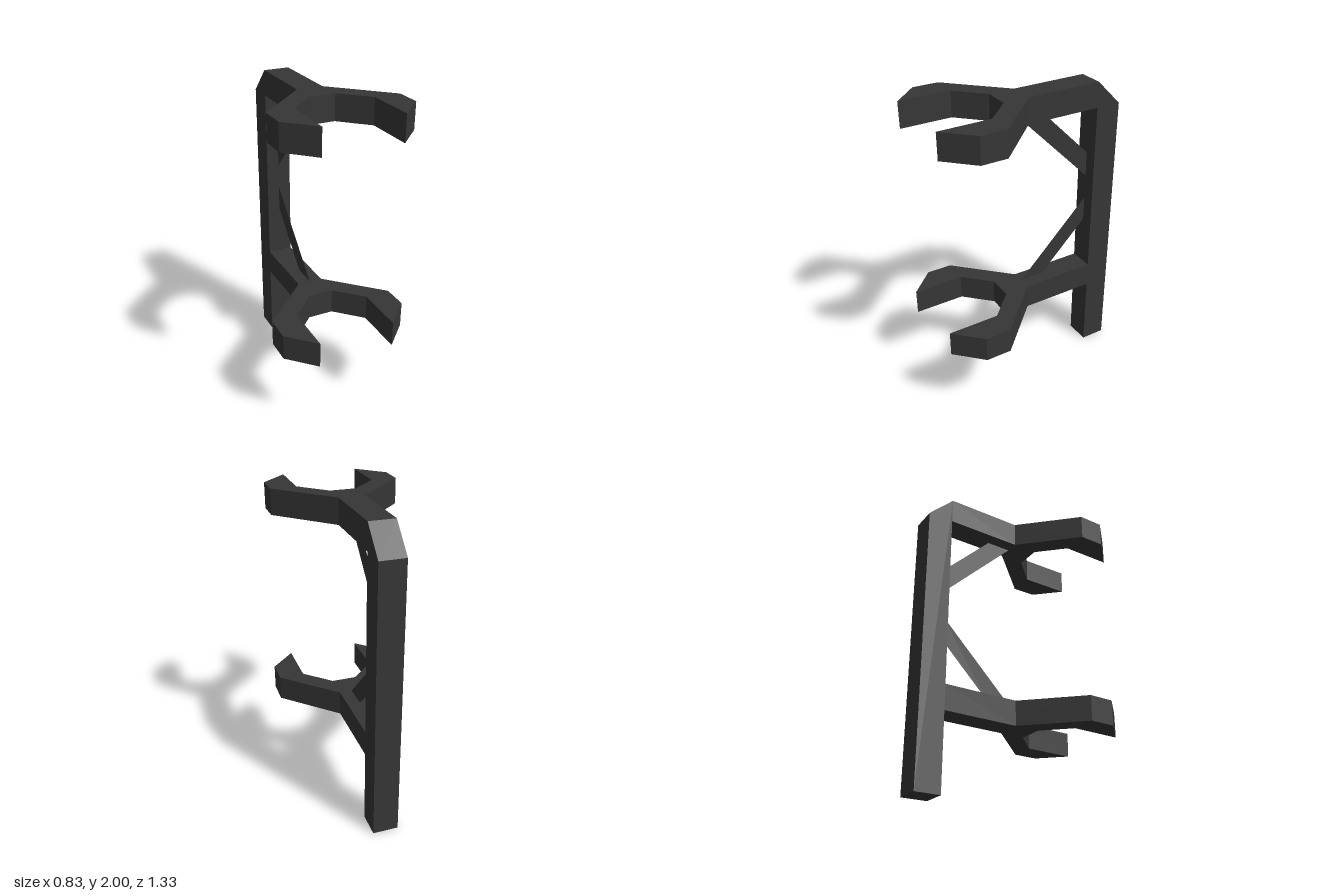
import * as THREE from 'three';

const U = 1 / 12; // half the beam width
const W = 2 * U;  // beam width

const polygon = (pts) => new THREE.Shape(pts.map(([a, b]) => new THREE.Vector2(a * U, b * U)));

export function createModel() {
  const group = new THREE.Group();
  group.name = 'wallBracket';

  const darkMetal = new THREE.MeshStandardMaterial({ color: 0x363636 });
  darkMetal.name = 'darkGrey';
  const darkSheet = darkMetal.clone();
  darkSheet.side = THREE.DoubleSide;

  const add = (name, geometry, material, y = 0) => {
    const mesh = new THREE.Mesh(geometry, material);
    mesh.name = name;
    mesh.position.y = y;
    group.add(mesh);
  };

  // Upright post with a chamfered top rear corner; profile drawn as (z, y)
  const post = new THREE.ExtrudeGeometry(
    polygon([[-8, 0], [-6, 0], [-6, 24], [-8, 22]]),
    { depth: W, bevelEnabled: false });
  post.translate(0, 0, -U).rotateY(-Math.PI / 2);
  add('post', post, darkMetal);

  // Forked arm outline as (x, -z): right half mirrored to make the left half
  const half = [[1, 6], [1, 0], [5, -4], [5, -6], [3, -8], [3, -4], [1, -2]];
  const outline = [...half, ...half.map(([x, z]) => [-x, z]).reverse()];
  const fork = new THREE.ExtrudeGeometry(polygon(outline), { depth: W, bevelEnabled: false });
  fork.rotateX(-Math.PI / 2);
  add('lowerFork', fork, darkMetal, 6 * U);
  add('upperFork', fork, darkMetal, 22 * U);

  // Flat diagonal braces on the centre plane, drawn as (z, y)
  const braces = {
    lowerBrace: [[0, 8], [-2, 8], [-6, 12], [-6, 14]],
    upperBrace: [[0, 22], [-2, 22], [-6, 18], [-6, 16]],
  };
  for (const [name, pts] of Object.entries(braces)) {
    add(name, new THREE.ShapeGeometry(polygon(pts)).rotateY(-Math.PI / 2), darkSheet);
  }

  return group;
}
